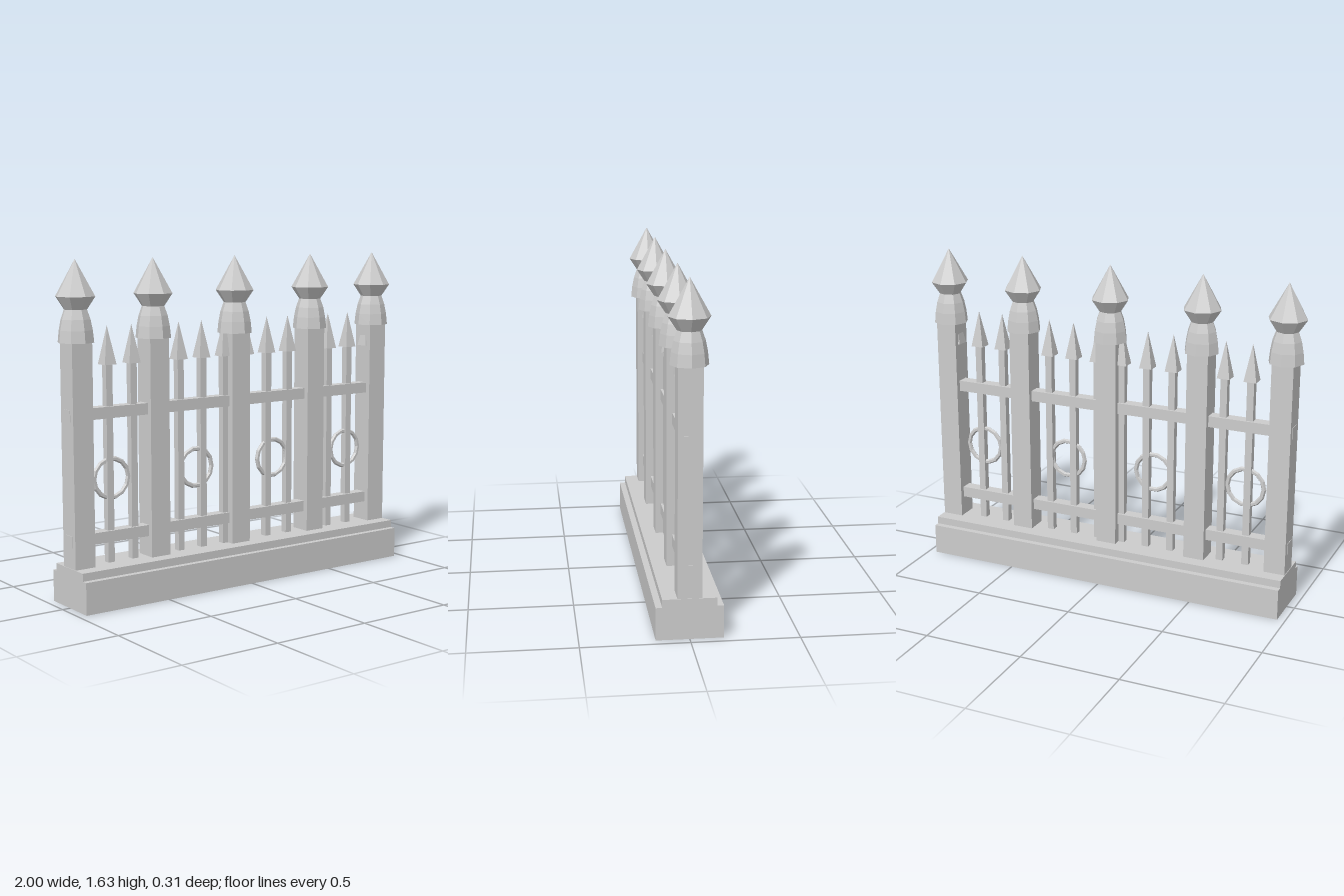
import * as THREE from 'three';

export function createModel() {
  const group = new THREE.Group();
  const stone = new THREE.MeshStandardMaterial({ color: 0xcccccc });
  stone.name = 'paleGrey';
  stone.flatShading = true;

  function add(name, geometry, x, y, z = 0) {
    const mesh = new THREE.Mesh(geometry, stone);
    mesh.name = name;
    mesh.position.set(x, y, z);
    group.add(mesh);
    return mesh;
  }

  // Stepped plinth, extruded along x
  const profile = [
    [-0.155, 0], [0.155, 0], [0.155, 0.155], [0.125, 0.155],
    [0.125, 0.193], [-0.125, 0.193], [-0.125, 0.155], [-0.155, 0.155],
  ].map(([z, y]) => new THREE.Vector2(z, y));
  const plinth = new THREE.ExtrudeGeometry(new THREE.Shape(profile), { depth: 1.92, bevelEnabled: false });
  plinth.translate(0, 0, -0.96).rotateY(Math.PI / 2);
  add('plinth', plinth, 0, 0);

  // Posts with eight-sided finials: flared skirt, neck, bulge and point
  const postGeometry = new THREE.BoxGeometry(0.107, 1.08, 0.112);
  const finialGeometry = new THREE.LatheGeometry([
    [0, 1.253], [0.087, 1.253], [0.081, 1.31], [0.071, 1.36],
    [0.055, 1.405], [0.095, 1.465], [0, 1.635],
  ].map(([r, y]) => new THREE.Vector2(r, y)), 8);
  for (const x of [-0.904, -0.481, 0, 0.481, 0.904]) {
    add('post', postGeometry, x, 0.73);
    add('finial', finialGeometry, x, 0);
  }

  // Evenly spaced pickets with square spearheads
  const rodGeometry = new THREE.BoxGeometry(0.035, 0.97, 0.035);
  const spearGeometry = new THREE.ConeGeometry(0.032 * Math.SQRT2, 0.183, 4);
  spearGeometry.rotateY(Math.PI / 4);
  for (let i = -7; i < 7; i++) {
    const x = (i + 0.5) * 0.1343;
    add('picketRod', rodGeometry, x, 0.67);
    add('picketSpearhead', spearGeometry, x, 1.2325);
  }

  // Horizontal rails, ends just proud of the outer posts
  const railGeometry = new THREE.BoxGeometry(1.92, 0.055, 0.06);
  add('lowerRail', railGeometry, 0, 0.322);
  add('upperRail', railGeometry, 0, 0.917);

  // Ornamental rings, one per bay
  const ringGeometry = new THREE.TorusGeometry(0.094, 0.012, 6, 14);
  for (const x of [-0.725, -0.237, 0.237, 0.725]) add('ring', ringGeometry, x, 0.598);

  return group;
}
